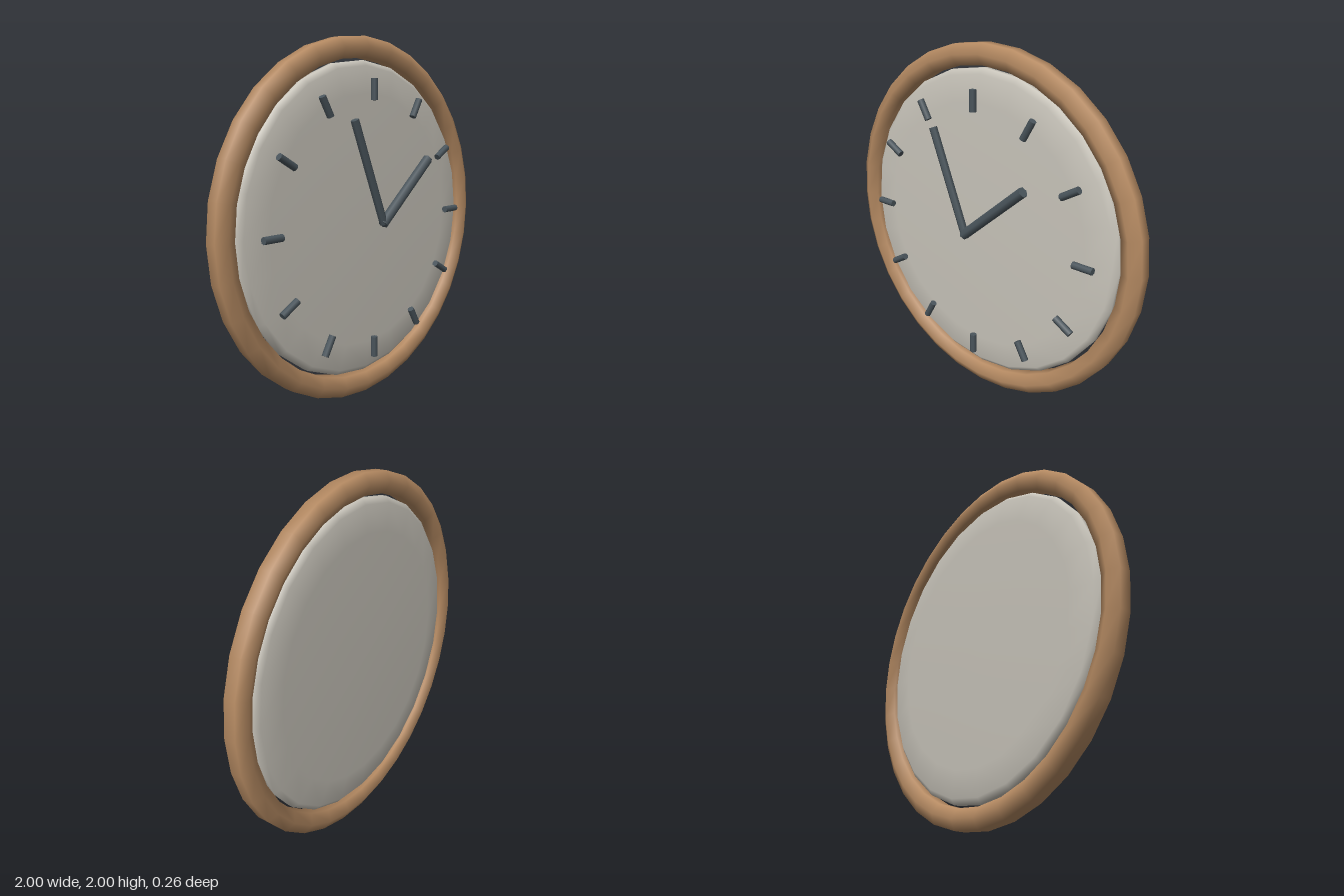
import * as THREE from 'three';
import { mergeVertices } from 'three/addons/utils/BufferGeometryUtils.js';

const CENTRE_Y = 1;
const RIM_Z = -0.065;

const material = (name, color) => {
  const m = new THREE.MeshStandardMaterial({ color });
  m.name = name;
  return m;
};

// Smooth solid of revolution whose axis points to the front (+z)
function turned(profile, segments) {
  let g = new THREE.LatheGeometry(profile.map(([r, z]) => new THREE.Vector2(r, z)), segments);
  g.deleteAttribute('uv');
  g.deleteAttribute('normal');
  g = mergeVertices(g, 1e-4);
  g.computeVertexNormals();
  return g.rotateX(Math.PI / 2);
}

// Rod along a clock direction (radians clockwise from twelve), from radius a to b
function rod(name, angle, a, b, radius, sides, z, mat) {
  const mesh = new THREE.Mesh(new THREE.CylinderGeometry(radius, radius, b - a, sides), mat);
  const mid = (a + b) / 2;
  mesh.name = name;
  mesh.position.set(Math.sin(angle) * mid, CENTRE_Y + Math.cos(angle) * mid, z);
  mesh.rotation.z = -angle;
  return mesh;
}

export function createModel() {
  const clock = new THREE.Group();
  clock.name = 'wallClock';
  const wood = material('warm wood', 0xb58a62);
  const ivory = material('pale grey face', 0xc9c5bb);
  const slate = material('dark slate', 0x4a555c);

  // Rim: six-sided tube swept round a circle
  const tube = 0.065;
  const section = [];
  for (let i = 0; i <= 6; i++) {
    const a = -Math.PI / 6 + (i * Math.PI) / 3;
    section.push([0.944 + tube * Math.cos(a), tube * Math.sin(a)]);
  }
  const rim = new THREE.Mesh(turned(section, 32), wood);
  rim.name = 'rim';
  rim.position.set(0, CENTRE_Y, RIM_Z);

  // Face: disc with softly rounded edges, the same front and back
  const half = [[0.875, 0.015], [0.845, 0.04], [0.7, 0.051], [0, 0.056]];
  const profile = [...half.map(([r, z]) => [r, -z]).reverse(), ...half];
  const face = new THREE.Mesh(turned(profile, 24), ivory);
  face.name = 'face';
  face.position.copy(rim.position);
  clock.add(rim, face);

  // Twelve hour marks
  const marks = new THREE.Group();
  marks.name = 'hourMarks';
  for (let i = 0; i < 12; i++) {
    marks.add(rod('hourMark', (i * Math.PI) / 6, 0.66, 0.775, 0.0195, 8, 0.033, slate));
  }
  clock.add(marks);

  // Hands
  clock.add(
    rod('hourHand', Math.atan2(0.39, 0.33), -0.008, 0.513, 0.029, 6, 0.1, slate),
    rod('minuteHand', Math.atan2(-0.225, 0.555), -0.005, 0.6, 0.023, 6, 0.1, slate)
  );
  return clock;
}
